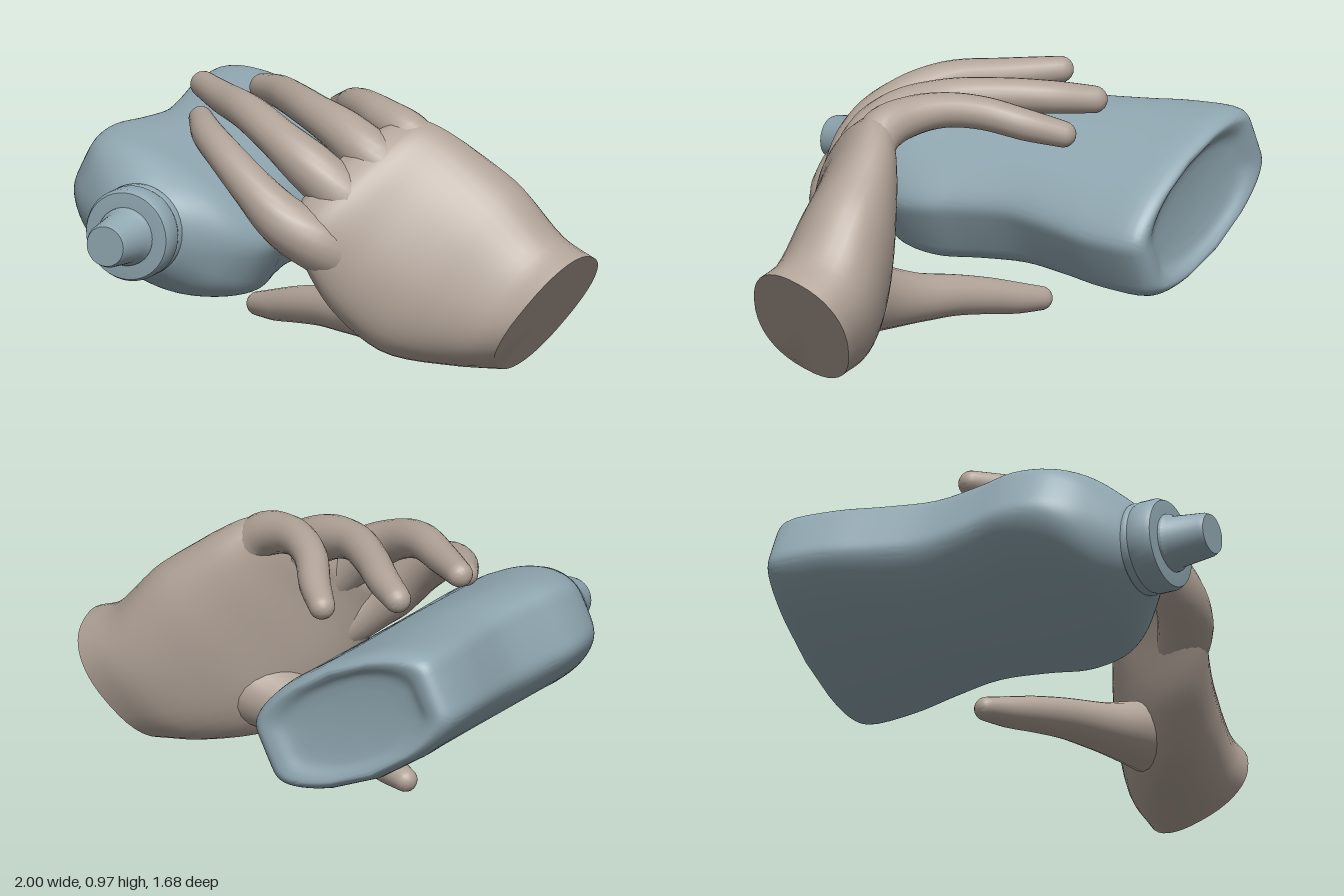
import * as THREE from 'three';
import { toCreasedNormals } from 'three/addons/utils/BufferGeometryUtils.js';

const skin = new THREE.MeshStandardMaterial({ color: 0xb0a297 });
const plastic = new THREE.MeshStandardMaterial({ color: 0x8fa6b0 });
const V = (a) => new THREE.Vector3(...a);
const spline = (pts) => new THREE.CatmullRomCurve3(pts.map(V));
const power = (v, e) => Math.sign(v) * Math.abs(v) ** e;

// Closed skin through equal-sized rings of points, both ends capped
function loft(rings, crease = 0.9) {
  const n = rings[0].length, m = rings.length;
  const points = rings.flat();
  for (const ring of [rings[0], rings[m - 1]]) {
    points.push(ring.reduce((s, p) => s.add(p), new THREE.Vector3()).divideScalar(n));
  }
  const faces = [];
  for (let j = 0; j < n; j++) {
    const k = (j + 1) % n;
    for (let i = 0; i < m - 1; i++) {
      const a = i * n + j, b = i * n + k;
      faces.push([a, b, b + n], [a, b + n, a + n]);
    }
    faces.push([m * n, k, j], [m * n + 1, (m - 1) * n + j, (m - 1) * n + k]);
  }
  // Turn the faces outward
  let volume = 0;
  for (const [a, b, c] of faces) volume += points[a].dot(points[b].clone().cross(points[c]));
  if (volume < 0) faces.forEach((f) => f.reverse());
  const geo = new THREE.BufferGeometry().setFromPoints(points);
  geo.setIndex(faces.flat());
  return toCreasedNormals(geo, crease);
}

function add(parent, name, geo, material) {
  const mesh = new THREE.Mesh(geo, material);
  mesh.name = name;
  parent.add(mesh);
}

// Digit with round ends; each station is [x, y, z, radius]
function digit(stations) {
  const path = spline(stations.map((s) => s.slice(0, 3)));
  const radii = spline(stations.map((s) => [s[3], 0, 0]));
  const steps = 36, sides = 20, rings = [];
  const side = new THREE.Vector3(), up = new THREE.Vector3();
  // Ring at t, pushed along the path by an angle around the end dome
  const ring = (t, dome = 0) => {
    const dir = path.getTangent(t), radius = radii.getPoint(t).x;
    const center = path.getPoint(t).addScaledVector(dir, radius * Math.sin(dome));
    const r = radius * Math.cos(dome);
    side.crossVectors(dir, V([0, 1, 0])).normalize();
    up.crossVectors(side, dir).normalize();
    rings.push(Array.from({ length: sides }, (_, j) => {
      const a = (j / sides) * Math.PI * 2;
      return center.clone().addScaledVector(side, r * Math.cos(a)).addScaledVector(up, r * Math.sin(a));
    }));
  };
  for (let i = 5; i > 0; i--) ring(0, -0.3 * i);
  for (let i = 0; i <= steps; i++) ring(i / steps);
  for (let i = 1; i <= 5; i++) ring(1, 0.3 * i);
  return loft(rings, 1.2);
}

// Palm and wrist: ellipses given by centre, half width and half thickness
function palm() {
  const sections = [
    [[0.845, 0.235, 0], [0.15, 0.21, -0.09], [0.02, 0.075, 0.2]],
    [[0.69, 0.265, 0.01], [0.17, 0.24, -0.12], [0.05, 0.06, 0.2]],
    [[0.47, 0.39, 0.07], [0.2, 0.31, -0.17], [0.06, 0.05, 0.18]],
    [[0.3, 0.54, 0.14], [0.18, 0.29, -0.21], [0.06, 0.06, 0.13]],
    [[0.18, 0.69, 0.2], [0.16, 0.22, -0.22], [0.05, 0.05, 0.085]],
    [[0.11, 0.75, 0.21], [0.13, 0.16, -0.17], [0.03, 0.03, 0.055]],
    [[0.08, 0.77, 0.21], [0.08, 0.1, -0.1], [0.015, 0.015, 0.03]],
  ];
  const [centers, widths, depths] = [0, 1, 2].map((k) => spline(sections.map((s) => s[k])));
  const rings = [];
  for (let i = 0; i <= 30; i++) {
    const c = centers.getPoint(i / 30), w = widths.getPoint(i / 30), d = depths.getPoint(i / 30);
    rings.push(Array.from({ length: 40 }, (_, j) => {
      const t = (j / 40) * Math.PI * 2;
      return c.clone().addScaledVector(w, power(Math.cos(t), 0.85)).addScaledVector(d, power(Math.sin(t), 0.85));
    }));
  }
  return loft(rings);
}

// Bottle body: z, half width, half depth, end taper, squareness
function bottleBody() {
  const stations = [
    [-0.8, 0.2, 0.11, 0.3, 3], [-0.812, 0.29, 0.16, 0.35, 4], [-0.838, 0.345, 0.19, 0.37, 6],
    [-0.841, 0.39, 0.212, 0.38, 7], [-0.8, 0.424, 0.234, 0.38, 7], [-0.6, 0.422, 0.236, 0.38, 7],
    [-0.4, 0.385, 0.238, 0.38, 7], [-0.2, 0.357, 0.24, 0.38, 7], [0, 0.38, 0.238, 0.38, 7],
    [0.15, 0.408, 0.236, 0.38, 7], [0.3, 0.395, 0.236, 0.36, 5], [0.4, 0.34, 0.23, 0.25, 3.5],
    [0.48, 0.255, 0.2, 0.1, 2.5], [0.55, 0.165, 0.158, 0, 2],
  ];
  const size = spline(stations.map((s) => s.slice(0, 3)));
  const form = spline(stations.map((s) => [s[3], s[4], 0]));
  const steps = (stations.length - 1) * 4, rings = [];
  for (let i = 0; i <= steps; i++) {
    const { x: z, y: a, z: b } = size.getPoint(i / steps);
    const { x: taper, y: n } = form.getPoint(i / steps);
    rings.push(Array.from({ length: 80 }, (_, j) => {
      const t = (j / 80) * Math.PI * 2;
      const u = power(Math.cos(t), 2 / n), v = power(Math.sin(t), 2 / n);
      return V([a * u, b * v * (1 - taper * u * u), z]);
    }));
  }
  return loft(rings);
}

function turned(profile) {
  const geo = new THREE.LatheGeometry(profile.map((p) => new THREE.Vector2(...p)), 40);
  return toCreasedNormals(geo.rotateX(Math.PI / 2), 0.6);
}

export function createModel() {
  const model = new THREE.Group();

  // Bottle lying along z and tipped about its own axis
  const bottle = new THREE.Group();
  bottle.name = 'bottle';
  bottle.position.set(-0.575, 0.52, 0);
  bottle.rotation.z = -0.453;
  model.add(bottle);
  add(bottle, 'bottleBody', bottleBody(), plastic);
  add(bottle, 'capCollar', turned([
    [0, 0.52], [0.16, 0.52], [0.174, 0.535], [0.176, 0.55], [0.17, 0.565], [0.176, 0.58],
    [0.176, 0.64], [0.166, 0.66], [0.13, 0.664], [0, 0.664],
  ]), plastic);
  add(bottle, 'nozzle', turned([
    [0, 0.65], [0.112, 0.65], [0.11, 0.675], [0.098, 0.69], [0.084, 0.82], [0.076, 0.838], [0, 0.838],
  ]), plastic);

  // Hand reaching over and under the bottle
  const hand = new THREE.Group();
  hand.name = 'hand';
  model.add(hand);
  add(hand, 'palm', palm(), skin);
  const digits = {
    thumb: [[0.5, 0.27, 0.06, 0.11], [0.35, 0.225, 0.09, 0.14], [0.2, 0.19, 0.07, 0.12], [0.05, 0.165, 0.02, 0.093],
      [-0.1, 0.15, -0.04, 0.078], [-0.24, 0.125, -0.1, 0.069], [-0.35, 0.1, -0.15, 0.06], [-0.445, 0.084, -0.195, 0.046]],
    indexFinger: [[0.2, 0.38, 0.25, 0.08], [0.07, 0.5, 0.37, 0.105], [-0.04, 0.575, 0.405, 0.1], [-0.18, 0.685, 0.39, 0.08],
      [-0.33, 0.78, 0.32, 0.068], [-0.46, 0.82, 0.2, 0.061], [-0.56, 0.84, 0.06, 0.046]],
    middleFinger: [[0.28, 0.5, 0.18, 0.08], [0.14, 0.65, 0.26, 0.1], [0, 0.765, 0.275, 0.095], [-0.15, 0.85, 0.24, 0.078],
      [-0.32, 0.905, 0.14, 0.07], [-0.5, 0.91, -0.01, 0.061], [-0.65, 0.915, -0.145, 0.05]],
    ringFinger: [[0.35, 0.62, 0.09, 0.08], [0.22, 0.77, 0.14, 0.1], [0.07, 0.86, 0.11, 0.088], [-0.1, 0.9, 0.02, 0.072],
      [-0.27, 0.9, -0.14, 0.066], [-0.4, 0.885, -0.28, 0.062], [-0.52, 0.865, -0.385, 0.052]],
    littleFinger: [[0.42, 0.74, 0, 0.07], [0.29, 0.86, 0.02, 0.085], [0.16, 0.9, -0.03, 0.075], [0.05, 0.91, -0.11, 0.066],
      [-0.05, 0.89, -0.21, 0.063], [-0.14, 0.845, -0.34, 0.06], [-0.23, 0.805, -0.445, 0.05]],
  };
  for (const [name, stations] of Object.entries(digits)) add(hand, name, digit(stations), skin);

  return model;
}
